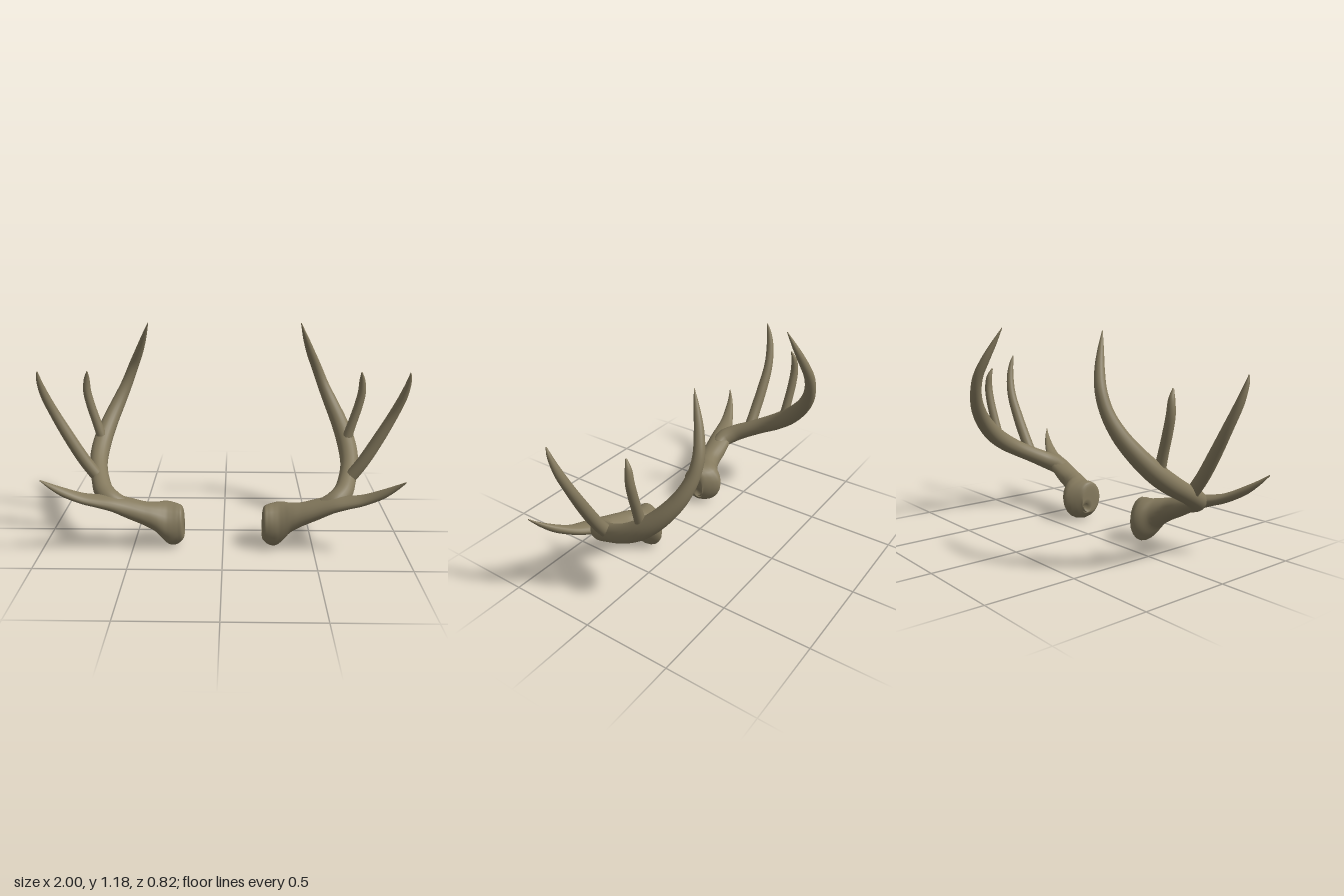
import * as THREE from 'three';

const SIDES = 20;

// Smooth skin over a list of rings (arrays of SIDES points), closed at both ends
function loft(rings) {
  const pos = [], idx = [];
  rings.forEach(r => r.forEach(p => pos.push(p.x, p.y, p.z)));
  const last = rings.length - 1;
  const centre = ring => {
    const c = new THREE.Vector3();
    ring.forEach(p => c.addScaledVector(p, 1 / SIDES));
    pos.push(c.x, c.y, c.z);
    return pos.length / 3 - 1;
  };
  const start = centre(rings[0]), end = centre(rings[last]);
  for (let j = 0; j < SIDES; j++) {
    const k = (j + 1) % SIDES;
    for (let i = 0; i < last; i++) {
      const a = i * SIDES + j, b = i * SIDES + k;
      idx.push(a, b, a + SIDES, b, b + SIDES, a + SIDES);
    }
    idx.push(start, k, j, end, last * SIDES + j, last * SIDES + k);
  }
  const geo = new THREE.BufferGeometry();
  geo.setAttribute('position', new THREE.Float32BufferAttribute(pos, 3));
  geo.setIndex(idx);
  geo.computeVertexNormals();
  return geo;
}

// Round horn along points [x, y, z, radius]
function horn(points, steps) {
  const path = new THREE.CatmullRomCurve3(points.map(p => new THREE.Vector3(p[0], p[1], p[2])));
  const radii = new THREE.CatmullRomCurve3(points.map((p, i) => new THREE.Vector3(p[3], i, 0)));
  const rings = [];
  const normal = new THREE.Vector3(1, 0, 0);
  for (let i = 0; i <= steps; i++) {
    const t = i / steps, c = path.getPoint(t), r = Math.max(radii.getPoint(t).x, 0.001);
    const tangent = path.getTangent(t);
    // carry the previous normal along so the skin does not twist
    normal.addScaledVector(tangent, -normal.dot(tangent)).normalize();
    const side = new THREE.Vector3().crossVectors(tangent, normal);
    rings.push(Array.from({ length: SIDES }, (_, j) => {
      const a = j / SIDES * Math.PI * 2;
      return c.clone().addScaledVector(normal, r * Math.cos(a)).addScaledVector(side, r * Math.sin(a));
    }));
  }
  return loft(rings);
}

// Oval sections across x: [x, yMin, yMax, zMin, zMax]
function ovalLoft(sections, steps) {
  const mid = new THREE.CatmullRomCurve3(sections.map(s =>
    new THREE.Vector3(s[0], (s[1] + s[2]) / 2, (s[3] + s[4]) / 2)));
  const half = new THREE.CatmullRomCurve3(sections.map((s, i) =>
    new THREE.Vector3((s[2] - s[1]) / 2, (s[4] - s[3]) / 2, i * 0.05)));
  const oval = (c, hy, hz, dx = 0) => Array.from({ length: SIDES }, (_, j) => {
    const a = j / SIDES * Math.PI * 2;
    return new THREE.Vector3(c.x + dx, c.y + hy * Math.cos(a), c.z + hz * Math.sin(a));
  });
  const rings = [];
  for (let i = 0; i <= steps; i++) {
    const c = mid.getPoint(i / steps), h = half.getPoint(i / steps);
    rings.push(oval(c, Math.max(h.x, 0.001), Math.max(h.y, 0.001)));
  }
  // shallow socket in the inner end
  rings.unshift(oval(mid.getPoint(0), 0.026, 0.026, 0.015));
  return loft(rings);
}

function mirrorX(geo) {
  const g = geo.clone();
  const p = g.attributes.position, ix = g.index;
  for (let i = 0; i < p.count; i++) p.setX(i, -p.getX(i));
  for (let i = 0; i < ix.count; i += 3) {
    const b = ix.getX(i + 1);
    ix.setX(i + 1, ix.getX(i + 2));
    ix.setX(i + 2, b);
  }
  g.computeVertexNormals();
  return g;
}

export function createModel() {
  const horn_ = new THREE.MeshStandardMaterial({ color: 0x857a5e });
  horn_.name = 'antlerBrown';

  const parts = {
    // flared base running out into the low front tine
    baseAndBrowTine: ovalLoft([
      [0.217, 0.05, 0.11, 0.135, 0.195],
      [0.224, 0.04, 0.225, 0.13, 0.275],
      [0.25, 0.012, 0.24, 0.10, 0.285],
      [0.28, 0.0, 0.243, 0.072, 0.29],
      [0.305, 0.005, 0.246, 0.06, 0.292],
      [0.335, 0.04, 0.25, 0.075, 0.295],
      [0.37, 0.09, 0.255, 0.12, 0.297],
      [0.43, 0.135, 0.267, 0.155, 0.302],
      [0.52, 0.182, 0.293, 0.165, 0.312],
      [0.60, 0.228, 0.313, 0.18, 0.325],
      [0.68, 0.262, 0.325, 0.218, 0.337],
      [0.75, 0.288, 0.343, 0.255, 0.348],
      [0.85, 0.345, 0.395, 0.315, 0.373],
      [0.91, 0.403, 0.432, 0.361, 0.391],
      [0.948, 0.452, 0.46, 0.4, 0.407],
    ], 70),
    // long beam sweeping back, up and inward
    mainBeam: horn([
      [0.54, 0.25, 0.24, 0.045], [0.61, 0.28, 0.23, 0.055], [0.66, 0.31, 0.18, 0.054],
      [0.692, 0.35, 0.1, 0.05], [0.718, 0.4, 0, 0.05], [0.725, 0.45, -0.09, 0.053],
      [0.715, 0.515, -0.18, 0.053], [0.685, 0.6, -0.265, 0.048], [0.64, 0.7, -0.335, 0.041],
      [0.595, 0.8, -0.372, 0.034], [0.555, 0.9, -0.378, 0.03], [0.512, 1.0, -0.351, 0.025],
      [0.477, 1.09, -0.315, 0.016], [0.445, 1.18, -0.277, 0.002],
    ], 64),
    // tall outer tine
    outerTine: horn([
      [0.7, 0.355, 0.093, 0.035], [0.775, 0.46, 0.095, 0.034], [0.852, 0.59, 0.093, 0.032],
      [0.925, 0.73, 0.096, 0.027], [0.972, 0.85, 0.118, 0.022], [0.99, 0.94, 0.143, 0.012],
      [0.99, 0.98, 0.156, 0.003],
    ], 36),
    // short rear tine
    rearTine: horn([
      [0.71, 0.49, -0.147, 0.03], [0.75, 0.62, -0.155, 0.026], [0.78, 0.72, -0.16, 0.025],
      [0.796, 0.8, -0.16, 0.023], [0.794, 0.87, -0.154, 0.017], [0.786, 0.92, -0.137, 0.004],
    ], 30),
  };

  const model = new THREE.Group();
  model.name = 'antlers';
  for (const side of ['left', 'right']) {
    const antler = new THREE.Group();
    antler.name = side + 'Antler';
    for (const [name, geo] of Object.entries(parts)) {
      const mesh = new THREE.Mesh(side === 'left' ? geo : mirrorX(geo), horn_);
      mesh.name = name;
      antler.add(mesh);
    }
    model.add(antler);
  }
  return model;
}
